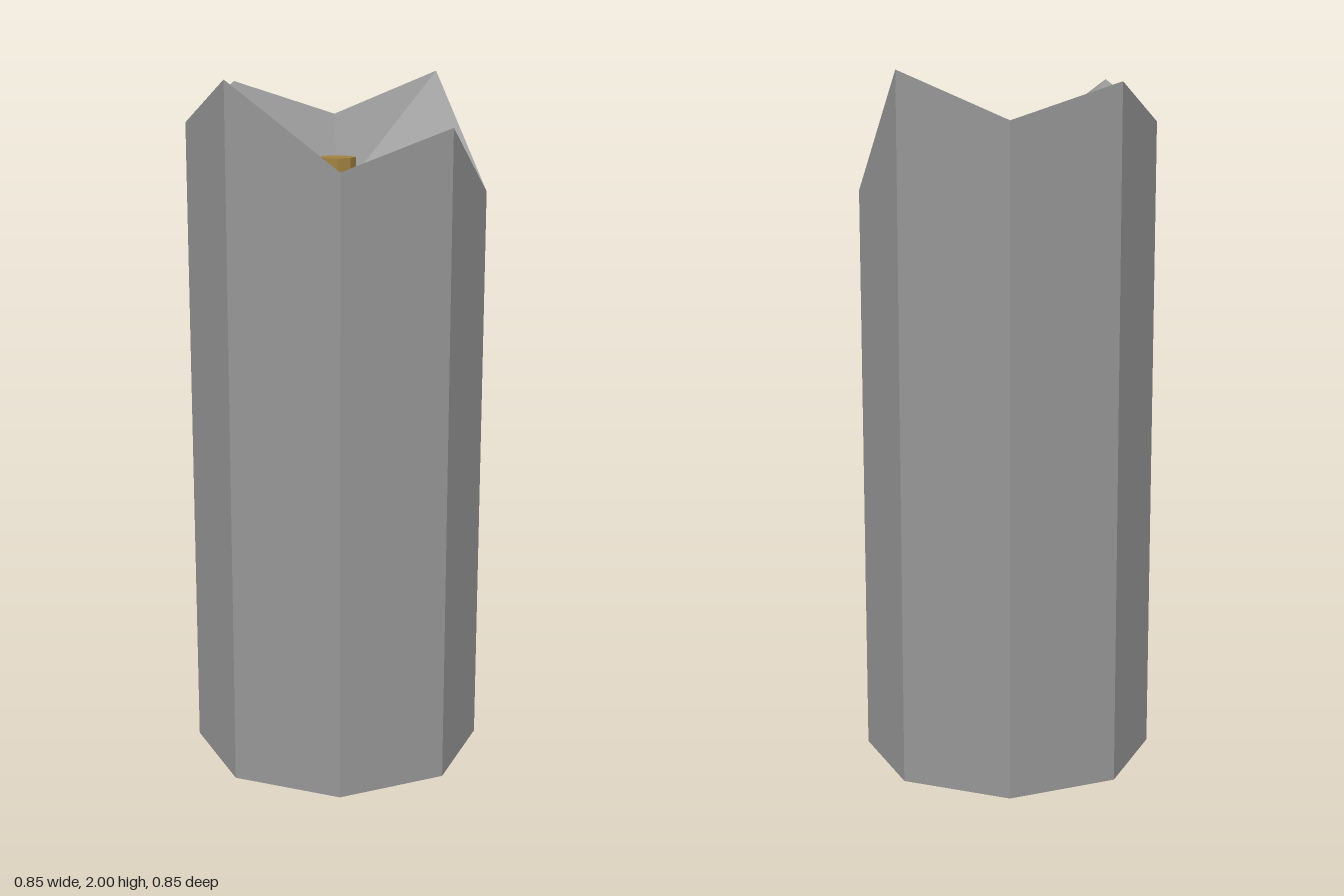
import * as THREE from 'three';

const SIDES = 8;
const RADIUS = 0.427;
const WICK_RADIUS = 0.053;
const WICK_TOP = 1.77;
const WICK_BOTTOM = 1.68;
const BASIN_Y = 1.655;

// Rim heights, from the front corner round towards +x
const RIM = [1.87, 1.672, 2.0, 1.867, 1.97, 1.867, 1.995, 1.765];

export function createModel() {
  const group = new THREE.Group();

  // Closed octagonal body: base, wall, uneven rim, basin folding down to the centre
  const profile = [
    [0, 0], [RADIUS, 0], [RADIUS, 2], [0, BASIN_Y],
  ].map(([x, y]) => new THREE.Vector2(x, y));
  const bodyGeometry = new THREE.LatheGeometry(profile, SIDES);
  const position = bodyGeometry.attributes.position;
  for (let i = 0; i <= SIDES; i++) {
    position.setY(i * profile.length + 2, RIM[i % SIDES]);
  }
  const flatBody = bodyGeometry.toNonIndexed();
  flatBody.computeVertexNormals();
  const body = new THREE.Mesh(
    flatBody,
    new THREE.MeshStandardMaterial({ color: 0x969696, flatShading: true })
  );
  body.name = 'waxBody';
  group.add(body);

  // Short wick resting on the ridges of the basin
  const wick = new THREE.Mesh(
    new THREE.CylinderGeometry(WICK_RADIUS, WICK_RADIUS, WICK_TOP - WICK_BOTTOM, SIDES),
    new THREE.MeshStandardMaterial({ color: 0xa08240, flatShading: true })
  );
  wick.position.y = (WICK_TOP + WICK_BOTTOM) / 2;
  wick.name = 'wick';
  group.add(wick);

  return group;
}
